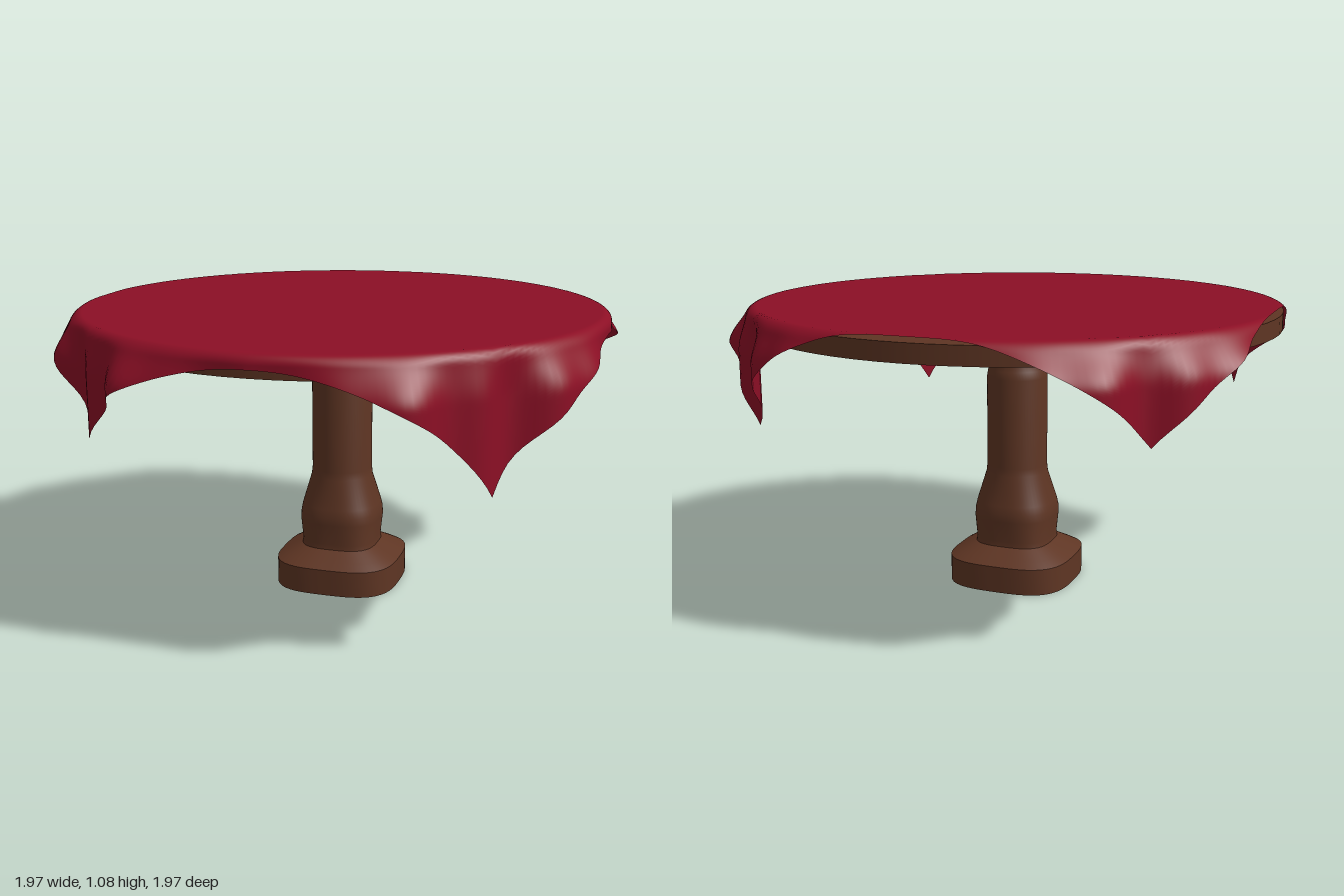
import * as THREE from 'three';
import { toCreasedNormals } from 'three/addons/utils/BufferGeometryUtils.js';

const CX = -0.023, CZ = -0.025; // axis of the table; the cloth lies slightly off it

// Turned pedestal: round at the top, blending to a rounded square at the foot
function pedestalGeometry() {
  const profile = [
    [0, 0], [0.235, 0], [0.235, 0.1], [0.205, 0.118], [0.145, 0.15], [0.143, 0.17],
    [0.153, 0.25], [0.153, 0.28], [0.148, 0.31], [0.118, 0.42], [0.115, 0.45],
    [0.115, 0.79], [0.11, 0.82], [0.094, 0.855], [0.096, 0.87], [0.11, 0.905], [0.113, 0.93], [0.113, 1.01],
  ].map(([r, y]) => new THREE.Vector2(r, y));
  const geo = new THREE.LatheGeometry(profile, 64);
  const pos = geo.attributes.position;
  for (let i = 0; i < pos.count; i++) {
    const x = pos.getX(i), y = pos.getY(i), z = pos.getZ(i), r = Math.hypot(x, z);
    if (r < 1e-6) continue;
    const n = THREE.MathUtils.lerp(3.2, 2, THREE.MathUtils.smoothstep(y, 0.1, 0.45));
    const k = (Math.abs(x / r) ** n + Math.abs(z / r) ** n) ** (-1 / n);
    pos.setXYZ(i, x * k, y, z * k);
  }
  return toCreasedNormals(geo, 0.6);
}

// Square cloth draped over the round top; rays run from the axis to the hem
function clothGeometry() {
  const TOP = 1.08, BEND_AT = 0.955, BEND = 0.035, FLAT = 0.92;
  const SIDE = 64, ROWS = 32, COLS = SIDE * 4;
  const reach = [1.025, 1.025, 0.955, 0.955]; // hem distance at +x, +z, -x, -z
  // corner k lies between side k and side k + 1
  const corners = [
    { drop: 1.0, flare: 0.0, phase: 0.5 },
    { drop: 0.94, flare: 0.0, phase: 2.4 },
    { drop: 0.9, flare: 0.04, phase: 4.0 },
    { drop: 0.93, flare: 0.0, phase: 5.5 },
  ];
  const verts = [], index = [];
  for (let c = 0; c < COLS; c++) {
    const side = Math.floor(c / SIDE);
    const phi = ((c % SIDE) / SIDE - 0.5) * Math.PI / 2;
    const next = phi >= 0;
    const neighbour = reach[(side + (next ? 1 : 3)) % 4];
    // hem point on this side, stretched to meet the neighbouring side at the corner
    const along = Math.tan(phi) * neighbour, out = reach[side];
    const hem = Math.hypot(along, out);
    const theta = side * Math.PI / 2 + Math.atan2(along, out);
    const corner = corners[next ? side : (side + 3) % 4];
    const d = next ? phi - Math.PI / 4 : phi + Math.PI / 4;
    const w = Math.cos(2 * d) ** 2;
    const fold = 0.075 * (0.5 - 0.5 * Math.cos(9 * d)) + corner.flare * w
      + 0.02 * w * Math.sin(24 * d + corner.phase);
    const dropScale = 1 + (corner.drop - 1) * w;
    for (let j = 0; j <= ROWS + 2; j++) {
      const r = j < 2 ? j * 0.5 : FLAT + (hem - FLAT) * (j - 2) / ROWS;
      const s = Math.max(0, r - BEND_AT), a = Math.min(s / BEND, Math.PI / 2);
      const hang = Math.max(0, s - BEND * Math.PI / 2) * dropScale;
      const ramp = THREE.MathUtils.smoothstep(s, 0.01, 0.18);
      const radius = Math.min(r, BEND_AT) + BEND * Math.sin(a) + fold * ramp;
      const y = TOP - BEND * (1 - Math.cos(a)) - hang;
      verts.push(CX + radius * Math.cos(theta), y, CZ + radius * Math.sin(theta));
    }
  }
  const N = ROWS + 3;
  for (let c = 0; c < COLS; c++) {
    for (let j = 0; j < N - 1; j++) {
      const a = c * N + j, b = ((c + 1) % COLS) * N + j;
      index.push(a, b + 1, a + 1);
      if (j > 0) index.push(a, b, b + 1);
    }
  }
  const geo = new THREE.BufferGeometry();
  geo.setAttribute('position', new THREE.Float32BufferAttribute(verts, 3));
  geo.setIndex(index);
  geo.computeVertexNormals();
  return geo;
}

export function createModel() {
  const wood = new THREE.MeshStandardMaterial({ color: 0x5e3523 });
  wood.name = 'brownWood';
  const fabric = new THREE.MeshStandardMaterial({ color: 0x8c0f25, side: THREE.DoubleSide });
  fabric.name = 'redFabric';

  const group = new THREE.Group();
  group.name = 'clothedTable';
  const add = (name, geo, mat, x = 0, y = 0, z = 0) => {
    const mesh = new THREE.Mesh(geo, mat);
    mesh.name = name;
    mesh.position.set(x, y, z);
    group.add(mesh);
  };

  add('pedestal', pedestalGeometry(), wood, CX, 0, CZ);
  add('tableTop', new THREE.CylinderGeometry(0.975, 0.975, 0.065, 72), wood, CX, 1.0325, CZ);
  add('tablecloth', clothGeometry(), fabric);
  return group;
}
